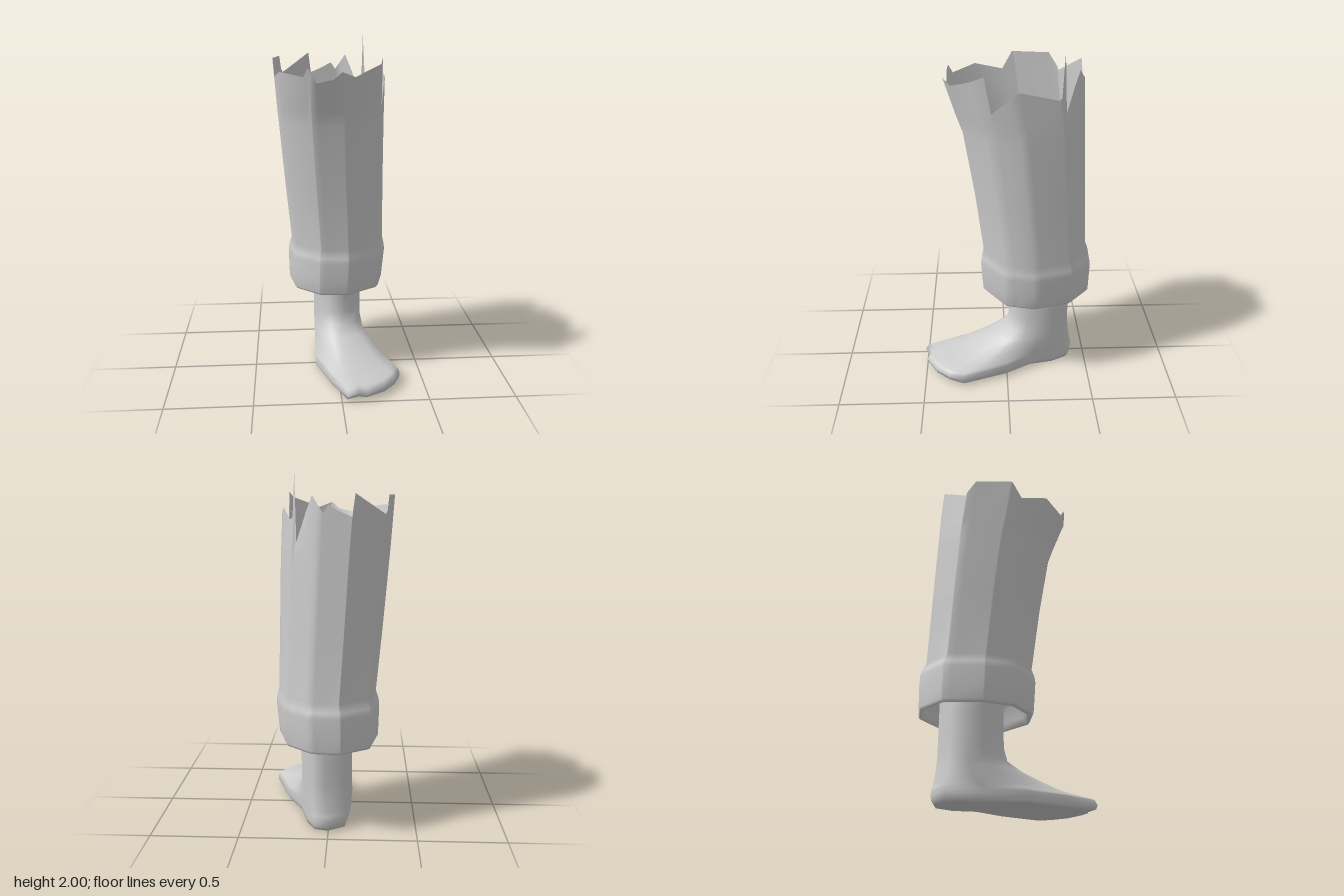
import * as THREE from 'three';

// Skin a list of closed rings (bottom to top, same point count) into one smooth surface
function loft(rings, material, name) {
  const n = rings[0].length, pos = rings.flat(2), idx = [];
  for (let r = 0; r < rings.length - 1; r++) {
    for (let i = 0; i < n; i++) {
      const a = r * n + i, b = r * n + (i + 1) % n;
      idx.push(a, a + n, b, b, a + n, b + n);
    }
  }
  const g = new THREE.BufferGeometry();
  g.setAttribute('position', new THREE.Float32BufferAttribute(pos, 3));
  g.setIndex(idx);
  g.computeVertexNormals();
  const mesh = new THREE.Mesh(g, material);
  mesh.name = name;
  return mesh;
}

const lerp = THREE.MathUtils.lerp;

// Ten-sided trouser outline [x, z], from the back round by the left side
const OUTLINE = [[-.07, -.515], [.1, -.505], [.25, -.38], [.315, -.16], [.27, .01],
  [.07, .135], [-.1, .12], [-.25, -.01], [-.285, -.2], [-.24, -.41]];

// Torn edge: [position along the outline, height]
const TORN = [[0.02, 1.77], [0.4, 1.8], [0.7, 1.83], [0.85, 1.79], [1.2, 1.88], [1.4, 1.8],
  [1.77, 1.63], [1.82, 2.0], [1.9, 1.76], [2.0, 1.75], [2.8, 1.81], [3.5, 1.69], [3.65, 1.89],
  [4.7, 1.8], [5.05, 1.83], [5.3, 1.79], [5.8, 1.77], [6.05, 1.85], [6.2, 1.8],
  [7.0, 1.82], [7.7, 1.78], [7.95, 1.88], [8.8, 1.88], [9.05, 1.78], [9.93, 1.89]];

function tornHeight(t) {
  for (let i = 0; i < TORN.length; i++) {
    const [t0, y0] = TORN[i];
    const [t1r, y1] = TORN[(i + 1) % TORN.length];
    const t1 = t1r < t0 ? t1r + 10 : t1r;
    for (const s of [t, t + 10]) {
      if (s >= t0 && s <= t1) return lerp(y0, y1, (s - t0) / (t1 - t0));
    }
  }
  return 1.8;
}

function buildTrouser(material) {
  // Columns at every outline corner and every tear point
  const columns = [...new Set([...OUTLINE.keys(), ...TORN.map((p) => p[0])])].sort((a, b) => a - b);
  const ring = ([y, x0, x1, z0, z1]) => columns.map((t) => {
    const i = Math.floor(t), a = OUTLINE[i], b = OUTLINE[(i + 1) % 10];
    const u = (lerp(a[0], b[0], t - i) + .285) / .6;
    const v = (lerp(a[1], b[1], t - i) + .515) / .65;
    return [lerp(x0, x1, u), y ?? tornHeight(t), lerp(z0, z1, v)];
  });
  // [y, xMin, xMax, zMin, zMax]: inner lining, turned-up cuff, leg, torn rim
  return loft([
    [.58, -.13, .165, -.39, -.03],
    [.63, -.15, .185, -.41, -.01],
    [.65, -.19, .22, -.44, .035],
    [.62, -.225, .25, -.465, .07],
    [.54, -.245, .265, -.48, .095],
    [.503, -.255, .27, -.49, .11],
    [.5, -.27, .283, -.502, .125],
    [.515, -.28, .295, -.51, .138],
    [.6, -.283, .303, -.512, .145],
    [.7, -.285, .312, -.514, .152],
    [.735, -.28, .308, -.505, .147],
    [.78, -.265, .297, -.482, .132],
    [1.15, -.3, .29, -.467, .18],
    [1.52, -.332, .285, -.452, .242],
    [1.61, -.34, .283, -.448, .275],
    [null, -.36, .28, -.44, .345],
  ].map(ring), material, 'trouserLeg');
}

// Ankle and sole outlines [x, z], matched point by point
const ANKLE = [[.02, -.39], [.09, -.36], [.15, -.28], [.165, -.2], [.15, -.13], [.13, -.08],
  [.09, -.05], [.06, -.035], [.03, -.028], [0, -.028], [-.04, -.04], [-.09, -.09],
  [-.13, -.17], [-.125, -.26], [-.09, -.34]];
const SOLE = [[0, -.42], [.08, -.4], [.13, -.3], [.17, -.15], [.27, .02], [.36, .28],
  [.32, .36], [.25, .44], [.14, .5], [.1, .485], [.03, .515], [-.05, .33],
  [-.13, .08], [-.125, -.15], [-.1, -.36]];

function buildFoot(material) {
  // [y, spread from ankle to sole outline, shrink towards the middle]
  const steps = [[.005, .9, 1], [.008, .93, .4], [.012, .95, .04], [.025, .99, .008], [.05, 1, 0],
    [.075, .97, 0], [.083, .93, 0], [.095, .8, 0], [.115, .6, 0], [.155, .4, 0], [.2, .2, 0],
    [.25, .05, 0], [.33, .01, 0], [.42, 0, 0], [.5, 0, 0], [.58, 0, 0]];
  const rings = steps.map(([y, w, shrink]) => ANKLE.map(([x, z], i) => [
    lerp(lerp(x, SOLE[i][0], w), .08, shrink),
    // the heel touches the ground, the arch and toes sit slightly above it
    y < .02 && z < -.25 ? y * .3 : y,
    lerp(lerp(z, SOLE[i][1], w), .03, shrink),
  ]));
  return loft(rings, material, 'foot');
}

export function createModel() {
  const grey = new THREE.MeshStandardMaterial({ color: 0xcccccc, side: THREE.DoubleSide });
  grey.name = 'plain grey';
  const group = new THREE.Group();
  group.name = 'legWithTornTrouser';
  group.add(buildTrouser(grey), buildFoot(grey));
  return group;
}
